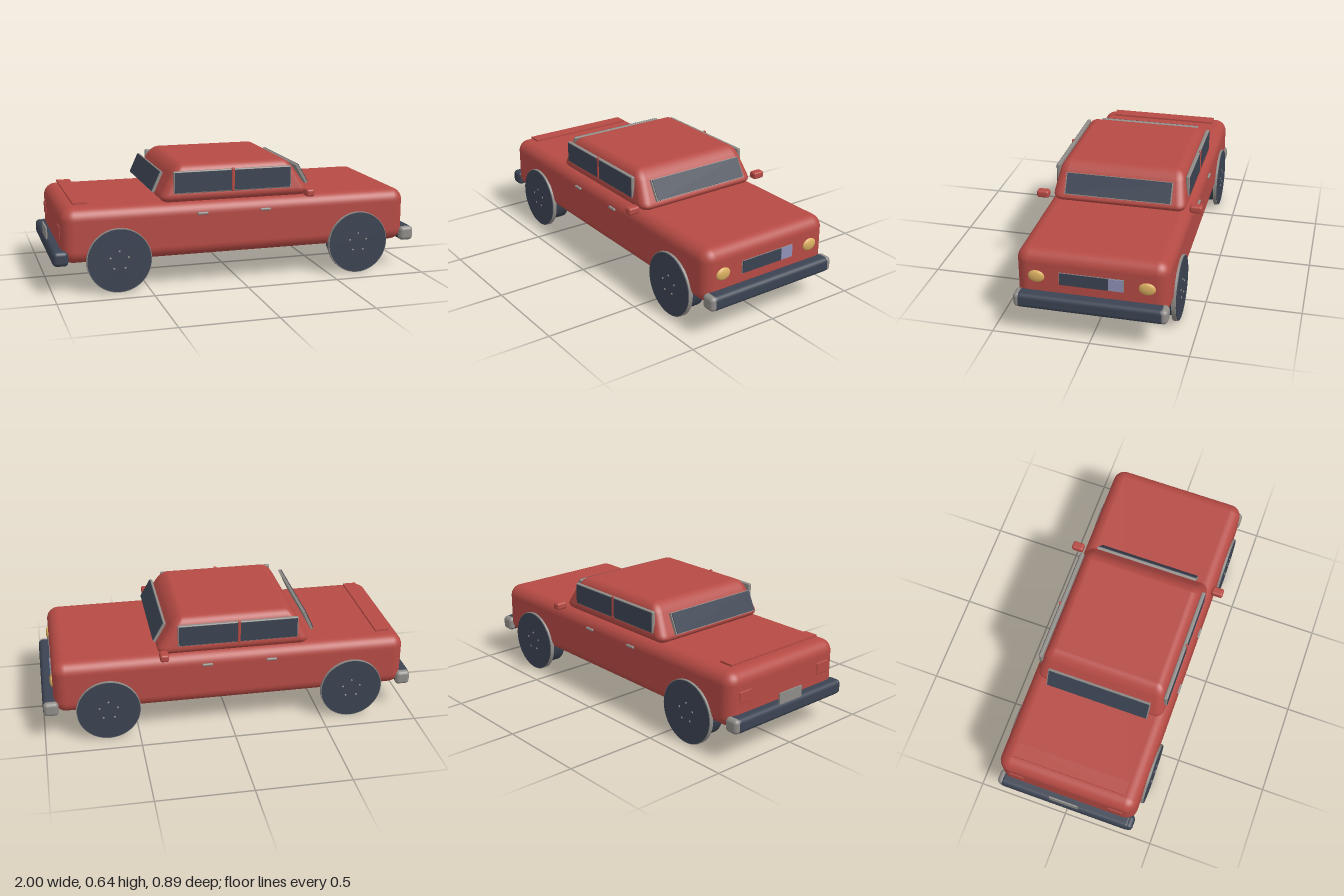
import * as THREE from 'three';
import { mergeVertices } from 'three/addons/utils/BufferGeometryUtils.js';
import { RoundedBoxGeometry } from 'three/addons/geometries/RoundedBoxGeometry.js';

const paint = (name, color) => {
  const m = new THREE.MeshStandardMaterial({ color });
  m.name = name;
  return m;
};

export function createModel() {
  const car = new THREE.Group();
  car.name = 'car';
  const red = paint('red paint', 0xb54a44);
  const dark = paint('dark glass and rubber', 0x3b4352);
  const grey = paint('grey trim', 0x8f8c88);
  const yellow = paint('headlight yellow', 0xd9ae60);
  const lavender = paint('lavender plate', 0x8f90b8);

  const add = (name, geo, mat, x, y, z, parent = car) => {
    const mesh = new THREE.Mesh(geo, mat);
    mesh.name = name;
    mesh.position.set(x, y, z);
    parent.add(mesh);
    return mesh;
  };
  const box = (name, mat, x, y, z, w, h, d, parent) =>
    add(name, new THREE.BoxGeometry(w, h, d), mat, x, y, z, parent);
  const rounded = (name, mat, x, y, z, w, h, d, r, parent) =>
    add(name, new RoundedBoxGeometry(w, h, d, 5, r), mat, x, y, z, parent);

  // Body shell
  rounded('body', red, -0.005, 0.305, 0, 1.89, 0.29, 0.77, 0.065);

  // Cabin: a rounded box tapered towards the roof
  let cabin = new RoundedBoxGeometry(0.82, 0.2, 0.72, 6, 0.05);
  cabin.translate(-0.02, 0.54, 0);
  cabin.deleteAttribute('normal');
  cabin.deleteAttribute('uv');
  cabin = mergeVertices(cabin, 1e-4);
  const p = cabin.attributes.position;
  for (let i = 0; i < p.count; i++) {
    const t = THREE.MathUtils.clamp((p.getY(i) - 0.47) / 0.17, 0, 1);
    const u = (p.getX(i) + 0.43) / 0.82;
    p.setX(i, THREE.MathUtils.lerp(-0.43 + 0.095 * t, 0.39 - 0.11 * t, u));
    p.setZ(i, p.getZ(i) * (1 - 0.09 * t));
  }
  cabin.computeVertexNormals();
  add('cabin', cabin, red, 0, 0, 0);

  // Windscreen and rear window: leaning glass on a grey frame
  const screen = (name, x, lean, out) => {
    const g = new THREE.Group();
    g.name = name;
    g.position.set(x, 0.548, 0);
    g.rotation.z = lean;
    car.add(g);
    box('frame', grey, 0, 0, 0, 0.014, 0.116, 0.57, g);
    box('glass', dark, out * 0.008, 0, 0, 0.006, 0.11, 0.56, g);
  };
  screen('windscreen', 0.368, 0.52, 1);
  screen('rearWindow', -0.432, -0.43, -1);

  // Trunk strip, grille and number plates
  box('trunkStrip', red, -0.843, 0.465, 0, 0.075, 0.01, 0.62);
  box('grilleFrame', grey, 0.939, 0.317, 0, 0.008, 0.068, 0.325);
  box('grille', dark, 0.943, 0.317, 0.037, 0.008, 0.064, 0.245);
  box('grillePanel', lavender, 0.943, 0.317, -0.123, 0.008, 0.064, 0.072);
  box('rearPlate', grey, -0.99, 0.26, 0, 0.008, 0.06, 0.16);

  // Bumpers
  for (const s of [1, -1]) {
    rounded(s > 0 ? 'frontBumper' : 'rearBumper', dark, s * 0.96, 0.196, 0, 0.08, 0.08, 0.75, 0.025);
    for (const e of [1, -1]) {
      rounded('bumperEnd', s < 0 && e > 0 ? dark : grey, s * 0.958, 0.196, e * 0.366, 0.08, 0.078, 0.045, 0.022);
    }
  }

  // Parts mirrored on both sides
  for (const s of [1, -1]) {
    const lamp = add('headlight', new THREE.SphereGeometry(1, 24, 16), yellow, 0.94, 0.316, s * 0.278);
    lamp.scale.set(0.014, 0.033, 0.042);
    rounded('tailLight', red, -0.948, 0.32, s * 0.28, 0.014, 0.065, 0.08, 0.005);

    rounded('sideWindowFrame', grey, -0.04, 0.552, s * 0.35, 0.642, 0.118, 0.02, 0.006);
    box('sideWindow', dark, -0.04, 0.552, s * 0.359, 0.63, 0.106, 0.006);
    rounded('windowPillar', red, -0.042, 0.555, s * 0.36, 0.016, 0.125, 0.012, 0.005);

    rounded('mirror', red, 0.362, 0.473, s * 0.412, 0.046, 0.04, 0.066, 0.012);
    for (const x of [-0.214, 0.13]) {
      rounded('doorHandle', grey, x, 0.39, s * 0.388, 0.058, 0.014, 0.014, 0.006);
    }

    // Wheels: tyre, wide outer disc, inner hub and five bolts
    for (const x of [-0.66, 0.66]) {
      const wheel = new THREE.Group();
      wheel.name = 'wheel';
      wheel.position.set(x, 0.172, 0);
      car.add(wheel);
      const disc = (name, mat, r, z, depth) => {
        const geo = new THREE.CylinderGeometry(r, r, depth, 48).rotateX(Math.PI / 2);
        add(name, geo, mat, 0, 0, s * z, wheel);
      };
      disc('tyre', dark, 0.143, 0.328, 0.095);
      disc('wheelRim', grey, 0.17, 0.386, 0.022);
      disc('wheelFace', dark, 0.166, 0.398, 0.004);
      disc('innerHub', lavender, 0.1, 0.28, 0.004);
      for (let i = 0; i < 5; i++) {
        const a = Math.PI / 2 + (i * Math.PI * 2) / 5;
        add('bolt', new THREE.SphereGeometry(0.006, 8, 6), grey,
          Math.cos(a) * 0.05, Math.sin(a) * 0.05, s * 0.399, wheel);
      }
    }
  }
  return car;
}
